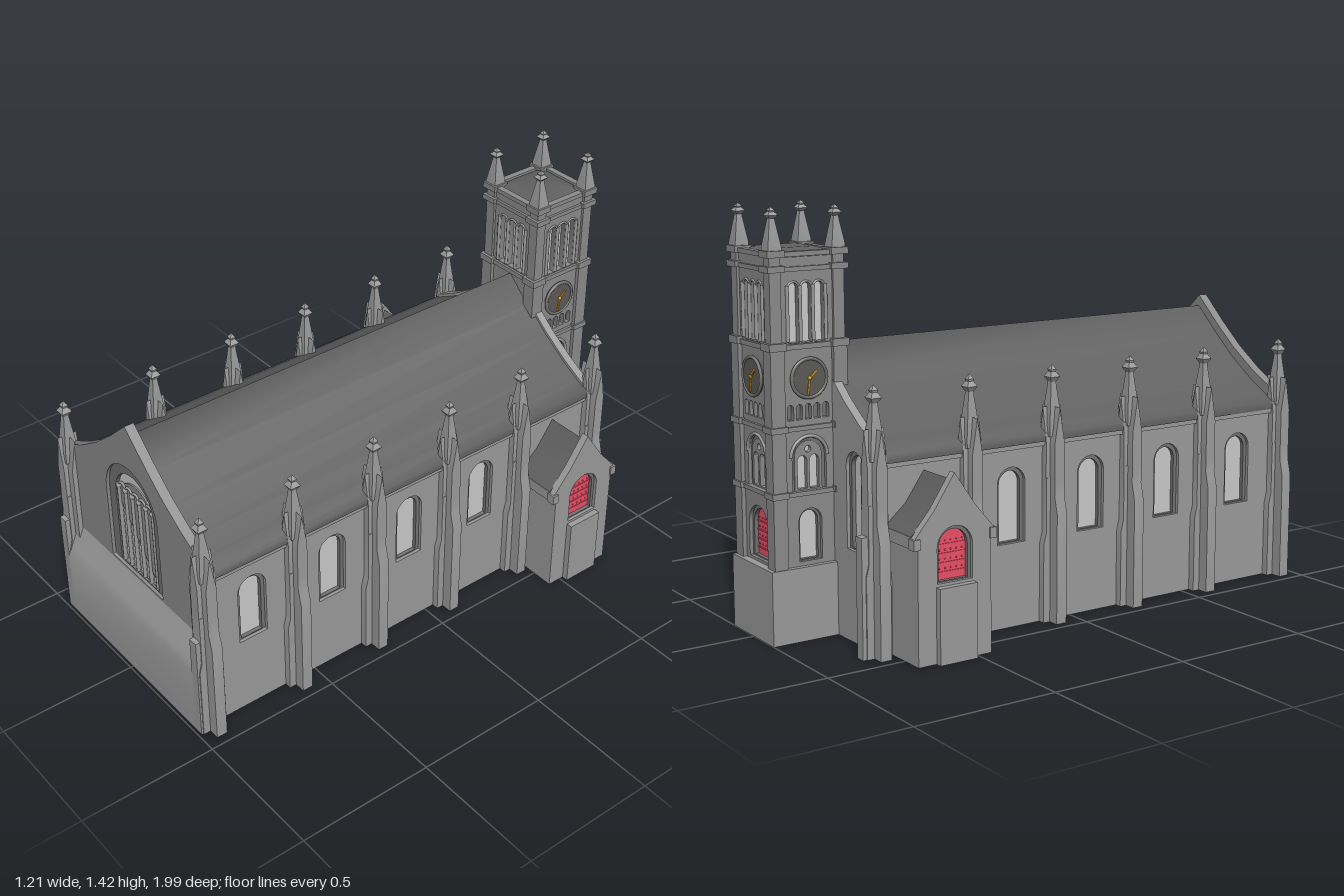
import * as THREE from 'three';
import { toCreasedNormals } from 'three/addons/utils/BufferGeometryUtils.js';

const paint = (color) => new THREE.MeshStandardMaterial({ color });
const stone = paint(0x9c9c9c);
const dimStone = paint(0x8c8c8c);
const trim = paint(0x747474);
const slate = paint(0x606060);
const glass = paint(0xd8d8d8);
const dial = paint(0x5c5b56);
const red = paint(0xee5068);
const gold = paint(0xd89820);

function add(parent, name, geo, x = 0, y = 0, z = 0, mat = stone) {
  const mesh = new THREE.Mesh(geo, mat);
  mesh.name = name;
  mesh.position.set(x, y, z);
  parent.add(mesh);
  return mesh;
}

// box given by its lowest and highest corners
function box(parent, name, x0, x1, y0, y1, z0, z1, mat) {
  const geo = new THREE.BoxGeometry(x1 - x0, y1 - y0, z1 - z0);
  return add(parent, name, geo, (x0 + x1) / 2, (y0 + y1) / 2, (z0 + z1) / 2, mat);
}

function group(parent, name, x = 0, z = 0, turn = 0) {
  const g = new THREE.Group();
  g.name = name;
  g.position.set(x, 0, z);
  g.rotation.y = turn;
  parent.add(g);
  return g;
}

const polygon = (pts) => new THREE.Shape(pts.map(([x, y]) => new THREE.Vector2(x, y)));
// right half of an outline, from bottom to top, completed by its mirror image
const mirrored = (half) => polygon([...half, ...half.slice().reverse().filter(([x]) => x > 0).map(([x, y]) => [-x, y])]);

// round-headed opening of half width w
function arch(cx, w, y0, y1) {
  const s = new THREE.Shape();
  s.moveTo(cx - w, y0);
  s.lineTo(cx + w, y0);
  s.lineTo(cx + w, y1 - w);
  s.absarc(cx, y1 - w, w, 0, Math.PI, false);
  s.closePath();
  return s;
}

// plate with holes, running from z0 to z1
function plate(parent, name, shape, holes, z0, z1, mat, crease = 0.6) {
  shape.holes.push(...holes);
  const geo = new THREE.ExtrudeGeometry(shape, { depth: z1 - z0, bevelEnabled: false, curveSegments: 10 });
  return add(parent, name, toCreasedNormals(geo, crease), 0, 0, z0, mat);
}

// stepped frame and recessed pane, set in a wall whose face is at z
function windowFill(parent, name, cx, w, y0, y1, z, rim = 0.014, mat = glass) {
  plate(parent, name + 'Frame', arch(cx, w, y0, y1), [arch(cx, w - rim, y0 + 0.004, y1 - rim)], z - 0.028, z - 0.012, trim);
  plate(parent, name + 'Pane', arch(cx, w, y0, y1), [], z - 0.034, z - 0.026, mat);
}

// red plank door with rails and studs
function door(parent, y0, z) {
  windowFill(parent, 'door', 0, 0.066, y0, y0 + 0.18, z, 0.012, red);
  for (let r = 0; r < 4; r++) {
    const y = y0 + 0.025 + r * 0.03;
    box(parent, 'doorRail', -0.053, 0.053, y, y + 0.005, z - 0.027, z - 0.023, red);
    for (let c = -2; c <= 2; c++) add(parent, 'doorStud', new THREE.SphereGeometry(0.003, 6, 4), c * 0.021, y + 0.015, z - 0.026, red);
  }
}

// four-sided spirelet with a diamond finial
function pinnacle(parent, x, y, z, r, h) {
  const profile = [[1, 0], [1, 0.15], [0.42, 0.7], [0.38, 0.76], [0.75, 0.83], [0.35, 0.9], [0.42, 0.93], [0.001, 1]];
  const geo = new THREE.LatheGeometry(profile.map(([a, b]) => new THREE.Vector2(a * r * Math.SQRT2, b * h)), 4, Math.PI / 4);
  add(parent, 'pinnacle', toCreasedNormals(geo, 0.3), x, y, z);
}

// cross-shaped buttress with gabled arms; local +z points away from the wall
function buttress(parent, x, z, turn) {
  const g = group(parent, 'buttress', x, z, turn);
  const fin = group(g, 'buttressArm', 0, 0, -Math.PI / 2);
  plate(g, 'buttressWings', mirrored([[0.046, 0], [0.046, 0.27], [0.036, 0.31], [0.036, 0.5]]), [], -0.022, 0.022);
  plate(fin, 'buttressFin', polygon([[-0.045, 0], [0.062, 0], [0.062, 0.38], [0.047, 0.44], [0.047, 0.5], [-0.05, 0.5], [-0.05, 0.33], [-0.045, 0.33]]), [], -0.02, 0.02);
  const gabled = [[0.02, 0.49], [0.02, 0.62], [0, 0.74]];
  plate(g, 'gabledFin', mirrored(gabled), [], -0.05, 0.047);
  plate(fin, 'gabledWings', mirrored(gabled), [], -0.036, 0.036);
  pinnacle(g, 0, 0.64, 0, 0.026, 0.24);
}

function nave(root) {
  const g = group(root, 'nave');
  const slope = [[0.42, 0.655], [0.37, 0.68], [0.3, 0.718], [0.2, 0.785], [0.1, 0.868], [0, 0.96]];
  const under = slope.slice().reverse().map(([x, y]) => [x, y - 0.03]);
  const left = (pts) => pts.map(([x, y]) => [-x, y]);
  plate(g, 'roof', polygon([...slope, ...left(slope.slice(0, -1)).reverse(), ...left(under).reverse(), ...under.slice(1)]), [], -0.745, 0.915, slate, 1.5);

  // front gable wall with the great window
  const gable = (rise) => mirrored([[0.4, 0], [0.4, 0.665 + rise], ...slope.slice(1).map(([x, y]) => [x, y + rise])]);
  plate(g, 'frontWall', gable(0.04), [arch(0, 0.155, 0.38, 0.83)], 0.905, 0.94, dimStone);
  windowFill(g, 'greatWindow', 0, 0.155, 0.38, 0.83, 0.94, 0.04);
  const lights = [-2, -1, 0, 1, 2].map((i) => arch(i * 0.041, 0.0155, 0.385, 0.715));
  plate(g, 'tracery', arch(0, 0.115, 0.38, 0.745), lights, 0.912, 0.92, dimStone);
  for (let i = -2.5; i <= 2.5; i++) {
    add(g, 'mullion', new THREE.CylinderGeometry(0.007, 0.007, 0.32, 8), i * 0.041, 0.54, 0.922);
    add(g, 'mullionCapital', new THREE.SphereGeometry(0.011, 8, 6), i * 0.041, 0.7, 0.922);
  }
  for (let i = -2; i <= 2; i++) add(g, 'lightArch', new THREE.TorusGeometry(0.019, 0.005, 6, 12, Math.PI), i * 0.041, 0.7, 0.922);

  // sloping plinth across the front
  const plinth = group(g, 'plinth', 0, 0, -Math.PI / 2);
  plate(plinth, 'frontPlinth', polygon([[0.92, 0], [0.99, 0], [0.99, 0.25], [0.975, 0.29], [0.95, 0.345], [0.937, 0.38], [0.92, 0.38]]), [], -0.39, 0.39);

  // back wall with a lancet on each side of the tower
  const backWall = group(g, 'backEnd', 0, 0, Math.PI);
  plate(backWall, 'backWall', gable(0.012), [-0.265, 0.265].map((x) => arch(x, 0.055, 0.31, 0.64)), 0.73, 0.76);
  for (const x of [-0.265, 0.265]) windowFill(backWall, 'backWindow', x, 0.055, 0.31, 0.64, 0.76);

  // long walls, windows, eaves and buttresses
  for (const s of [-1, 1]) {
    const side = group(g, 'side', 0, 0, s * Math.PI / 2);
    const at = [0.75, 0.42, 0.085, -0.245].map((z) => -s * z);
    const a = s > 0 ? -0.93 : -0.75, b = s > 0 ? 0.75 : 0.93;
    plate(side, 'sideWall', polygon([[a, 0], [b, 0], [b, 0.65], [a, 0.65]]), at.map((x) => arch(x, 0.056, 0.29, 0.55)), 0.38, 0.402);
    for (const x of at) windowFill(side, 'sideWindow', x, 0.056, 0.29, 0.55, 0.402);
    box(side, 'eaves', a, b, 0.61, 0.65, 0.4, 0.416);
    for (const z of [0.937, 0.58, 0.247, -0.083, -0.412, -0.77]) buttress(g, s * 0.405, z, s * Math.PI / 2);
    for (const [z0, z1] of [[0.92, 0.99], [-0.83, -0.75]]) box(g, 'cornerButtress', s * 0.405 - 0.018, s * 0.405 + 0.018, 0, 0.4, z0, z1);
  }
}

function porch(root, s) {
  const g = group(root, 'porch', 0, -0.585, s * Math.PI / 2);
  plate(g, 'porchFront', mirrored([[0.137, 0], [0.137, 0.38], [0.148, 0.38], [0.148, 0.415], [0.075, 0.5], [0, 0.61]]), [arch(0, 0.066, 0.26, 0.44)], 0.555, 0.582);
  door(g, 0.26, 0.582);
  plate(g, 'porchRoof', polygon([[0.148, 0.395], [0.148, 0.42], [0.07, 0.487], [0, 0.585], [-0.07, 0.487], [-0.148, 0.42], [-0.148, 0.395], [0, 0.555]]), [], 0.39, 0.56, slate);
  for (const k of [-1, 1]) {
    box(g, 'porchWall', k * 0.125 - 0.012, k * 0.125 + 0.012, 0, 0.41, 0.39, 0.56);
    box(g, 'porchEaves', k * 0.14 - 0.01, k * 0.14 + 0.01, 0.38, 0.42, 0.39, 0.558);
    box(g, 'kneeler', k * 0.143 - 0.012, k * 0.143 + 0.012, 0.38, 0.415, 0.555, 0.588);
  }
  box(g, 'doorStep', -0.07, 0.07, 0, 0.25, 0.57, 0.605);
}

function towerFace(tower, turn, isBack, isFront) {
  const g = group(tower, 'towerFace', 0, 0, turn);
  const F = 0.125;
  const lancets = [-1, 0, 1].map((i) => [i * 0.046, 0.0195, 0.985, 1.18]);
  const arcade = [-2, -1, 0, 1, 2].map((i) => [i * 0.032, 0.011, 0.735, 0.785]);
  const low = isBack ? [0, 0.066, 0.26, 0.44] : [0, 0.042, 0.265, 0.44];
  const openings = [...lancets, ...arcade, [0, 0.062, 0.5, 0.675], low];
  plate(g, 'towerWall', polygon([[-0.12, 0], [0.12, 0], [0.12, 1.26], [-0.12, 1.26]]), openings.map((o) => arch(...o)), F - 0.03, F, dimStone);

  // belfry louvres with slim shafts between them
  box(g, 'belfryBack', -0.075, 0.075, 0.975, 1.19, F - 0.03, F - 0.024, glass);
  for (let i = -1.5; i <= 1.5; i++) add(g, 'belfryShaft', new THREE.CylinderGeometry(0.006, 0.006, 0.18, 8), i * 0.046, 1.08, F + 0.002);
  for (const [x] of lancets) add(g, 'belfryArch', new THREE.TorusGeometry(0.021, 0.004, 6, 12, Math.PI), x, 1.16, F);
  if (isFront) return;

  // clock
  const disc = new THREE.CylinderGeometry(0.062, 0.062, 0.014, 32).rotateX(Math.PI / 2);
  add(g, 'clockFace', disc, 0, 0.87, F + 0.005, dial);
  add(g, 'clockRim', new THREE.TorusGeometry(0.063, 0.006, 8, 32), 0, 0.87, F + 0.01, trim);
  for (const [len, w, angle] of [[0.052, 0.006, 3.0], [0.034, 0.007, -0.8]]) {
    const hand = new THREE.BoxGeometry(w, len, 0.004).translate(0, len / 2, 0).rotateZ(angle);
    add(g, 'clockHand', hand, 0, 0.87, F + 0.015, gold);
  }
  add(g, 'clockBoss', new THREE.SphereGeometry(0.007, 8, 6), 0, 0.87, F + 0.014, gold);
  box(g, 'arcadeBack', -0.085, 0.085, 0.73, 0.79, F - 0.03, F - 0.018, trim);

  // paired window under one arch, and the lowest opening
  windowFill(g, 'pairedWindow', 0, 0.062, 0.5, 0.675, F, 0.012);
  const eye = new THREE.Path().absarc(0, 0.635, 0.011, 0, Math.PI * 2, false);
  plate(g, 'pairedTracery', arch(0, 0.05, 0.5, 0.663), [arch(-0.022, 0.017, 0.505, 0.615), arch(0.022, 0.017, 0.505, 0.615), eye], F - 0.024, F - 0.008, dimStone);
  add(g, 'hoodMould', new THREE.TorusGeometry(0.066, 0.006, 6, 16, Math.PI), 0, 0.613, F);
  if (isBack) door(g, 0.26, F);
  else windowFill(g, 'lowWindow', 0, 0.042, 0.265, 0.44, F, 0.009);
}

function tower(root) {
  const g = group(root, 'tower', 0, -0.848);
  for (let i = 0; i < 4; i++) towerFace(g, i * Math.PI / 2, i === 2, i === 0);
  for (const x of [-1, 1]) for (const z of [-1, 1]) {
    const column = (name, r, y0, y1) => box(g, name, x * 0.114 - r, x * 0.114 + r, y0, y1, z * 0.114 - r, z * 0.114 + r, dimStone);
    column('cornerPier', 0.025, 0, 0.97);
    column('belfryPier', 0.02, 0.97, 1.27);
    for (const [y0, y1] of [[0.485, 0.505], [0.7, 0.72], [0.965, 0.99], [1.215, 1.235], [1.262, 1.284]]) column('pierBand', 0.031, y0, y1);
    pinnacle(g, x * 0.114, 1.27, z * 0.114, 0.024, 0.15);
  }
  // string courses, parapet, low hipped roof and base
  for (const [y0, y1] of [[0.485, 0.5], [0.7, 0.715], [0.965, 0.982], [1.215, 1.23], [1.262, 1.278]])
    for (let i = 0; i < 4; i++) box(group(g, 'stringCourse', 0, 0, i * Math.PI / 2), 'band', -0.11, 0.11, y0, y1, 0.11, 0.134, dimStone);
  const hip = new THREE.CylinderGeometry(0.09, 0.18, 0.022, 4).rotateY(Math.PI / 4);
  add(g, 'towerRoof', toCreasedNormals(hip, 0.4), 0, 1.274, 0, slate);
  box(g, 'towerBase', -0.143, 0.143, 0, 0.25, -0.152, 0.1);
}

export function createModel() {
  const root = new THREE.Group();
  root.name = 'church';
  nave(root);
  for (const s of [-1, 1]) porch(root, s);
  tower(root);
  return root;
}
